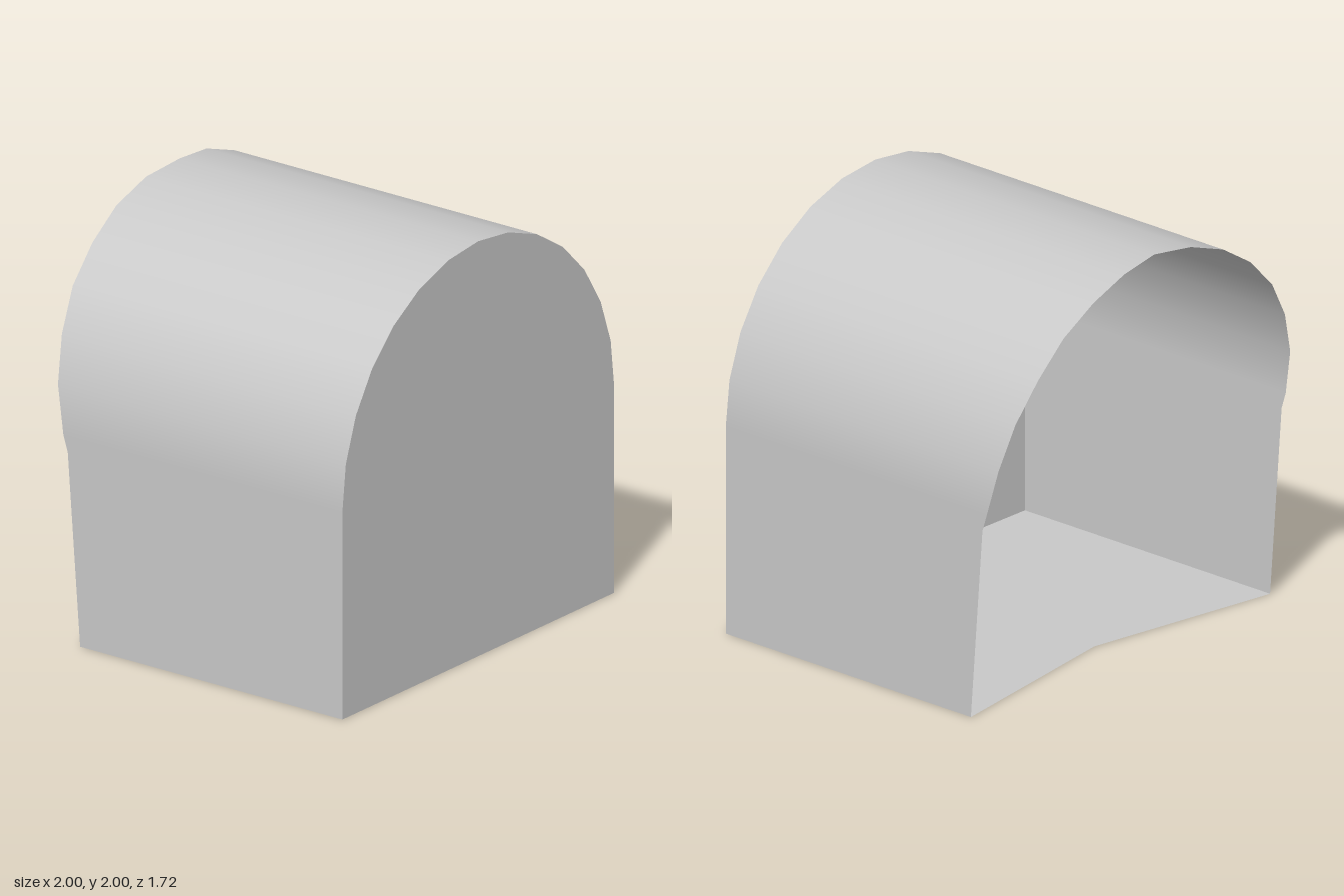
import * as THREE from 'three';

const FRONT = 0.86;

export function createModel() {
  const group = new THREE.Group();
  const grey = new THREE.MeshStandardMaterial({ color: 0xc8c8c8, side: THREE.DoubleSide });
  grey.name = 'grey';

  const add = (name, geometry) => {
    const mesh = new THREE.Mesh(geometry, grey);
    mesh.name = name;
    group.add(mesh);
    return mesh;
  };

  // Depth of the wavy back edge, from the springing of the arch to its crown
  const backEdge = [0.725, 0.775, 0.81, 0.84, 0.85, 0.86, 0.855, 0.835];

  // Section from the left foot, over the arch, to the right foot: x, y, back z, normal
  const section = [[1, 0, -0.63, 1, 0], [1, 0.92, -0.70, 1, 0]];
  for (let i = 0; i <= 14; i++) {
    const a = (i / 14) * Math.PI;
    const c = Math.cos(a), s = Math.sin(a);
    section.push([c, 1 + s, -backEdge[Math.min(i, 14 - i)], c, s]);
  }
  section.push([-1, 0.92, -0.70, -1, 0], [-1, 0, -0.63, -1, 0]);

  // Walls and vaulted roof as one smooth strip
  const positions = [], normals = [], index = [];
  section.forEach(([x, y, z, nx, ny], i) => {
    positions.push(x, y, FRONT, x, y, z);
    normals.push(nx, ny, 0, nx, ny, 0);
    if (i < section.length - 1) {
      const a = 2 * i;
      index.push(a, a + 1, a + 3, a, a + 3, a + 2);
    }
  });
  const shell = new THREE.BufferGeometry();
  shell.setAttribute('position', new THREE.Float32BufferAttribute(positions, 3));
  shell.setAttribute('normal', new THREE.Float32BufferAttribute(normals, 3));
  shell.setIndex(index);
  add('archedShell', shell);

  // Flat front wall
  const outline = section.map(([x, y]) => new THREE.Vector2(x, y));
  add('frontWall', new THREE.ShapeGeometry(new THREE.Shape(outline))).position.z = FRONT;

  // Floor with a shallow notch in its back edge
  const floor = [[-1, -FRONT], [1, -FRONT], [1, 0.63], [0, 0.47], [-1, 0.63]];
  const floorShape = new THREE.Shape(floor.map(([x, y]) => new THREE.Vector2(x, y)));
  add('floor', new THREE.ShapeGeometry(floorShape).rotateX(-Math.PI / 2));

  return group;
}
